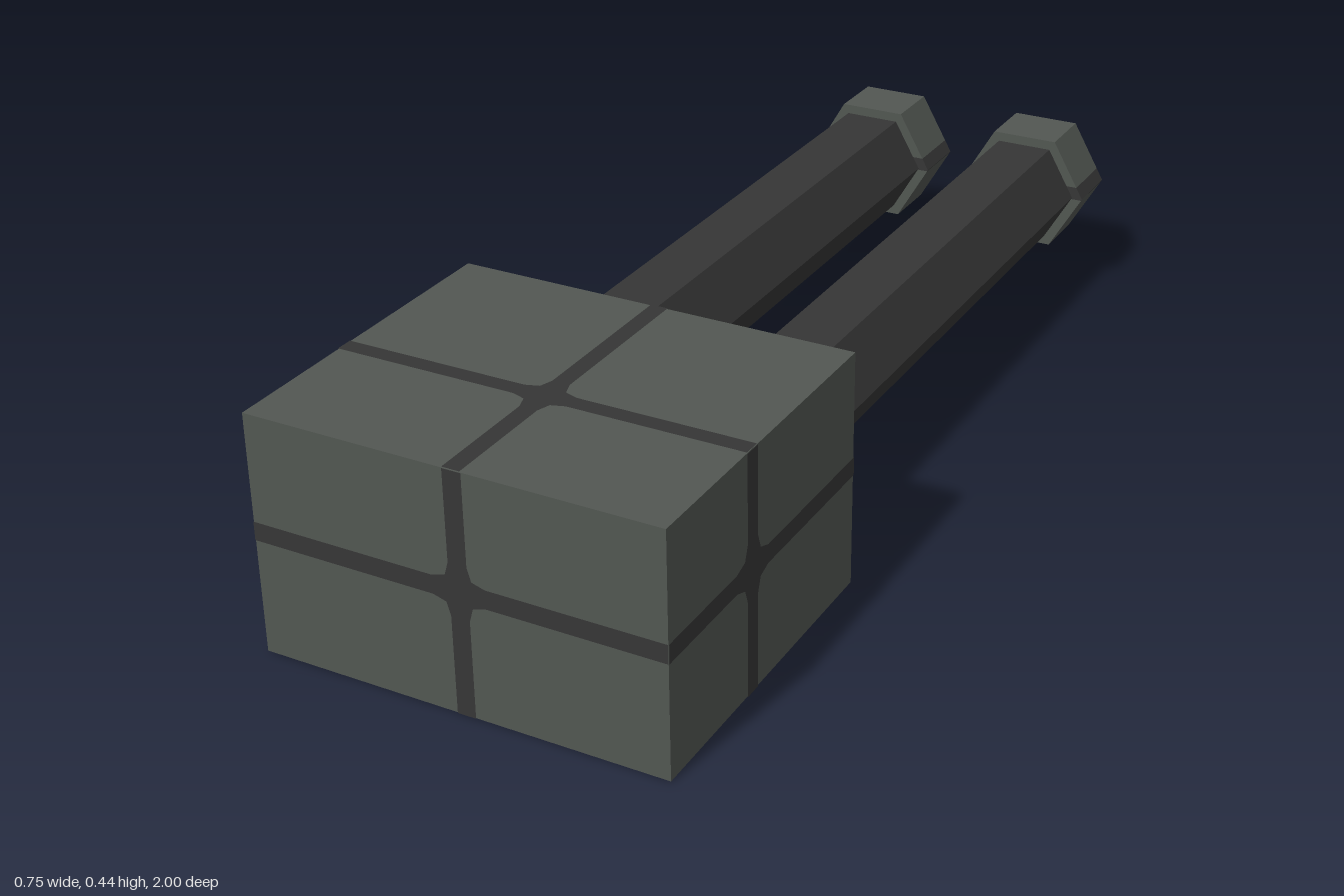
import * as THREE from 'three';

export function createModel() {
  const model = new THREE.Group();
  const grey = new THREE.MeshStandardMaterial({ color: 0x525752, flatShading: true });
  grey.name = 'stone grey';
  const dark = new THREE.MeshStandardMaterial({ color: 0x363636, flatShading: true });
  dark.name = 'dark iron';

  const add = (name, geometry, material, parent = model) => {
    const mesh = new THREE.Mesh(geometry, material);
    mesh.name = name;
    parent.add(mesh);
    return mesh;
  };

  // Horizontal slice of a hexagonal bar lying along z, corners pointing sideways
  const AXIS = 0.22;
  const hexSlice = (radius, low, high, z0, z1) => {
    const half = (y) => radius - Math.abs(y) / Math.sqrt(3);
    const levels = low < 0 && high > 0 ? [low, 0, high] : [low, high];
    const right = levels.map((y) => new THREE.Vector2(half(y), y));
    const left = levels.map((y) => new THREE.Vector2(-half(y), y)).reverse();
    const shape = new THREE.Shape([...right, ...left]);
    return new THREE.ExtrudeGeometry(shape, { depth: z1 - z0, bevelEnabled: false })
      .translate(0, AXIS, z0);
  };

  // Receiver block
  const W = 0.75, H = 0.438, D = 0.623, CZ = 0.688;
  add('block', new THREE.BoxGeometry(W, H, D).translate(0, H / 2, CZ), grey);

  // Flat cross with a flared middle, for the seams of the block
  const cross = (w, h, cx, cy, t, flare) => {
    const x = w / 2, y = h / 2, f = flare, r = flare * 2;
    return new THREE.ShapeGeometry(new THREE.Shape([
      [x, cy - t], [x, cy + t], [cx + r, cy + t], [cx + f, cy + f], [cx + t, cy + r],
      [cx + t, y], [cx - t, y], [cx - t, cy + r], [cx - f, cy + f], [cx - r, cy + t],
      [-x, cy + t], [-x, cy - t], [cx - r, cy - t], [cx - f, cy - f], [cx - t, cy - r],
      [cx - t, -y], [cx + t, -y], [cx + t, cy - r], [cx + f, cy - f], [cx + r, cy - t],
    ].map(([a, b]) => new THREE.Vector2(a, b))));
  };
  const seam = (name, geometry, position, rx, ry) => {
    const mesh = add(name, geometry, dark);
    mesh.position.set(...position);
    mesh.rotation.set(rx, ry, 0);
  };
  const e = 0.0015, Q = Math.PI / 2;
  seam('frontSeam', cross(W, H, 0.012, 0.008, 0.017, 0.024), [0, H / 2, CZ + D / 2 + e], 0, 0);
  seam('backSeam', cross(W, H, 0, 0.008, 0.015, 0.024), [0, H / 2, CZ - D / 2 - e], 0, Math.PI);
  seam('leftSeam', cross(D, H, -0.05, 0.008, 0.017, 0.026), [W / 2 + e, H / 2, CZ], 0, Q);
  seam('rightSeam', cross(D, H, 0.05, 0.008, 0.017, 0.026), [-W / 2 - e, H / 2, CZ], 0, -Q);
  seam('topSeam', cross(W, D, 0.01, -0.05, 0.016, 0.024), [0, H + e, CZ], -Q, 0);
  seam('bottomSeam', cross(0.2, 0.2, 0, 0, 0.014, 0.035), [0, -e, CZ], Q, 0);

  // Bridge between the barrels
  add('bridge', new THREE.BoxGeometry(0.2, 0.12, 0.14).translate(0, AXIS, 0.317), dark);

  // Twin hexagonal barrels with banded muzzles
  const R = 0.113, M = 0.135, S = Math.sqrt(3) / 2;
  for (const side of [1, -1]) {
    const barrel = new THREE.Group();
    barrel.name = side > 0 ? 'leftBarrel' : 'rightBarrel';
    barrel.position.x = side * 0.176;
    model.add(barrel);
    add('tube', hexSlice(R, -R * S, R * S, -0.9, 0.39), dark, barrel);
    add('muzzleLower', hexSlice(M, -M * S, -0.003, -1, -0.877), grey, barrel);
    add('muzzleBand', hexSlice(M, -0.003, 0.024, -1, -0.877), dark, barrel);
    add('muzzleUpper', hexSlice(M, 0.024, M * S, -1, -0.877), grey, barrel);
  }
  return model;
}
